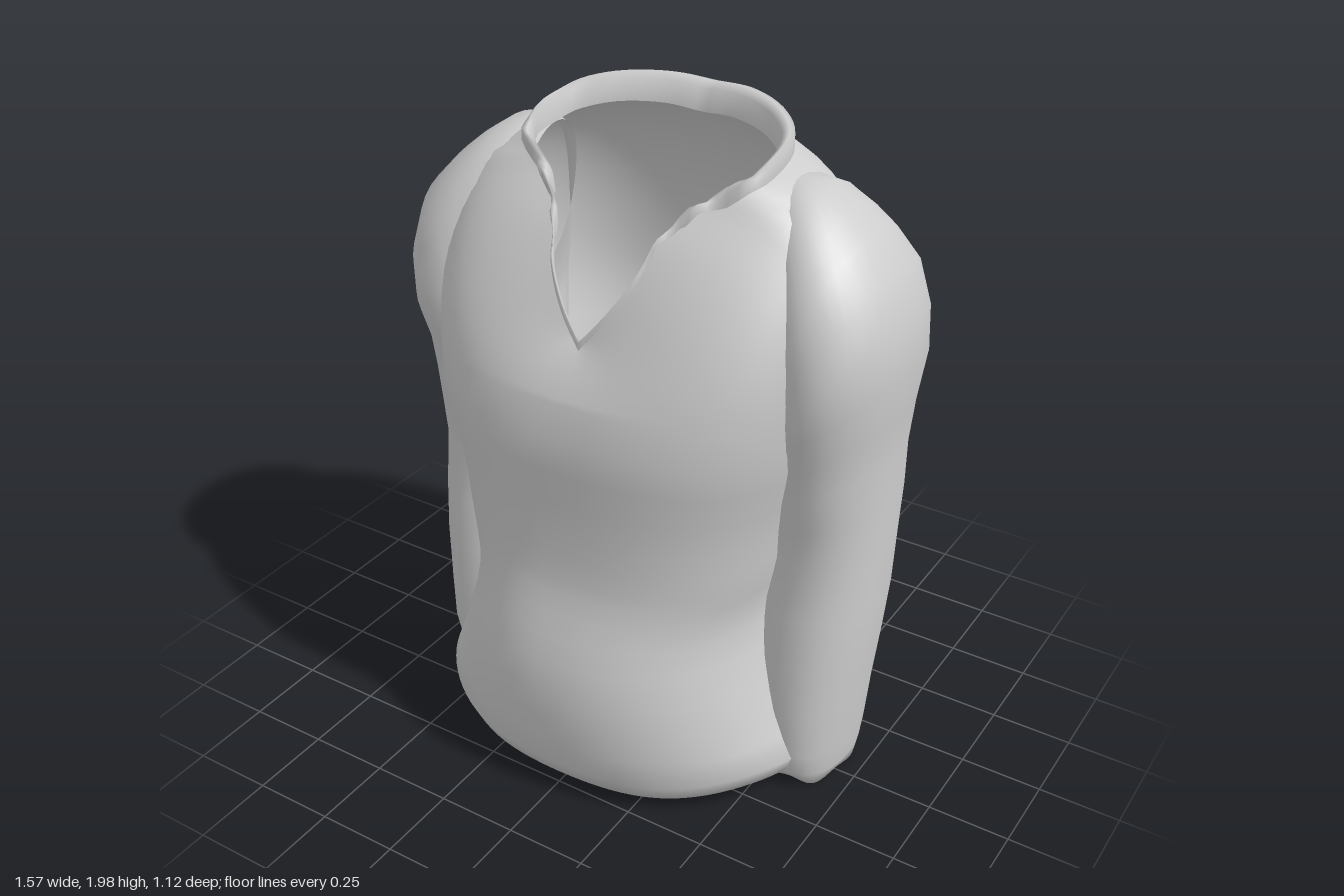
import * as THREE from 'three';

const COLS = 96;
const fabric = new THREE.MeshStandardMaterial({ color: 0xcccccc, side: THREE.DoubleSide });
fabric.name = 'grey fabric';

// Smooth surface through closed rings of points (rows of equal length)
function loft(name, rows) {
  const n = rows[0].length, pos = [], index = [];
  rows.forEach(r => r.forEach(p => pos.push(p.x, p.y, p.z)));
  for (let i = 0; i < rows.length - 1; i++) {
    for (let j = 0; j < n; j++) {
      const a = i * n + j, b = i * n + (j + 1) % n;
      index.push(a, b, b + n, a, b + n, a + n);
    }
  }
  const g = new THREE.BufferGeometry();
  g.setAttribute('position', new THREE.Float32BufferAttribute(pos, 3));
  g.setIndex(index);
  g.computeVertexNormals();
  const mesh = new THREE.Mesh(g, fabric);
  mesh.name = name;
  return mesh;
}

const V = (x, y, z) => new THREE.Vector3(x, y, z);
const { lerp, smoothstep } = THREE.MathUtils;
const bell = (x, w) => Math.exp(-((x / w) ** 2));
const power = (v, e) => Math.sign(v) * Math.abs(v) ** e;
// Column position: 0 at the front, 1 or -1 at the spine
const columns = Array.from({ length: COLS }, (_, j) => (j <= COLS / 2 ? j : j - COLS) / (COLS / 2));

// Half of the V neckline, from its tip round to the nape
const neckHalf = new THREE.CatmullRomCurve3([
  V(0, 1.44, 0.335), V(0.07, 1.53, 0.31), V(0.13, 1.63, 0.265), V(0.165, 1.73, 0.2), V(0.24, 1.81, 0.12),
  V(0.345, 1.87, 0.05), V(0.345, 1.91, -0.12), V(0.26, 1.935, -0.21), V(0.12, 1.94, -0.28), V(0, 1.93, -0.3),
]);
function neckPoint(s) {
  const p = neckHalf.getPoint(Math.abs(s));
  if (s < 0) p.x *= -1;
  return p;
}

// Body rings: height, half width, front z, back z, roundness exponent
const bodyRings = [
  [0.09, 0.595, 0.49, -0.45, 0.95], [0.058, 0.615, 0.51, -0.468, 0.95], [0.12, 0.64, 0.54, -0.485, 0.95],
  [0.22, 0.605, 0.557, -0.5, 0.95], [0.31, 0.565, 0.56, -0.485, 0.94], [0.4, 0.53, 0.56, -0.468, 0.92],
  [0.5, 0.495, 0.542, -0.452, 0.9], [0.58, 0.48, 0.515, -0.442, 0.87], [0.645, 0.48, 0.493, -0.445, 0.84],
  [0.7, 0.49, 0.476, -0.495, 0.81], [0.75, 0.5, 0.466, -0.527, 0.79], [0.82, 0.51, 0.46, -0.527, 0.77],
  [0.9, 0.52, 0.457, -0.525, 0.76], [1.0, 0.54, 0.457, -0.53, 0.75], [1.1, 0.565, 0.462, -0.55, 0.74],
  [1.2, 0.585, 0.462, -0.565, 0.72], [1.3, 0.595, 0.435, -0.56, 0.7],
];

function bodyPoint([y, w, zf, zb, e], s) {
  const a = s * Math.PI, c = Math.cos(a);
  const x = w * power(Math.sin(a), e);
  let z = (c > 0 ? zf : -zb) * power(c, e);
  if (c < 0) z += y < 0.66 ? 0.045 * bell(x, 0.02) : 0.025 * bell(x, 0.08); // back slit and spine hollow
  if (y < 0.15) y += 0.006 * Math.cos(a * 6) + 0.025 * Math.sin(a) ** 2;    // uneven hem
  else if (c < 0) y -= 0.055 * Math.sqrt(-c) * bell(y - 0.715, 0.04);       // waist fold hangs over at the back
  return V(x, y, z);
}

function makeBody() {
  const rows = bodyRings.map(r => columns.map(s => bodyPoint(r, s)));
  const chest = rows[rows.length - 1];
  // Yoke: each column curves from the chest over the shoulder to the neckline
  for (let i = 1; i <= 12; i++) {
    rows.push(columns.map((s, j) => {
      const from = chest[j], to = neckPoint(s), c = Math.cos(s * Math.PI);
      const side = 1 - Math.abs(c);
      const control = V(
        from.x * (1 + 0.22 * side * side),
        lerp((from.y + to.y) / 2, to.y - 0.015, 0.3 + 0.7 * Math.sqrt(side)),
        lerp(from.z, to.z, 0.24 + 0.18 * c),
      );
      return new THREE.QuadraticBezierCurve3(from, control, to).getPoint(i / 12);
    }));
  }
  return loft('body', rows);
}

// Rolled collar, narrow along the V and wider round the nape
function makeCollar() {
  const profile = [[1, -0.012, 0.3], [1, 0.012, 0.75], [0.55, 0.012, 1], [0, 0.006, 0.85], [-0.15, -0.015, -0.2]];
  return loft('collar', profile.map(([out, lift, rise], i) => columns.map(s => {
    const p = neckPoint(s), t = Math.abs(s);
    const k = smoothstep(t, 0.25, 0.75);
    const crumple = 0.014 * Math.sin(t * 60 + i) * bell(t - 0.45, 0.13);
    const d = V(p.x, 0, p.z + 0.05).normalize();
    const reach = out * (0.012 + 0.06 * k) + crumple;
    return V(p.x + d.x * reach * 0.45, p.y + lift + rise * 0.043 * k + crumple, p.z + d.z * reach);
  })));
}

// Sleeve rings: inner x, y, outer x, y, front z, back z; the first ones lie just under the yoke
const sleeveRings = [
  [0.45, 1.38, 0.37, 1.865, 0.04, -0.24], [0.46, 1.33, 0.44, 1.875, 0.1, -0.295], [0.465, 1.29, 0.51, 1.862, 0.15, -0.335],
  [0.465, 1.26, 0.58, 1.815, 0.185, -0.365], [0.465, 1.24, 0.645, 1.76, 0.21, -0.385],
  [0.46, 1.21, 0.725, 1.675, 0.225, -0.395], [0.45, 1.17, 0.772, 1.54, 0.225, -0.395],
  [0.44, 1.12, 0.785, 1.4, 0.21, -0.38], [0.43, 1.06, 0.767, 1.25, 0.175, -0.355], [0.42, 0.98, 0.757, 1.11, 0.16, -0.34],
  [0.41, 0.89, 0.76, 0.97, 0.14, -0.325], [0.41, 0.79, 0.757, 0.82, 0.122, -0.305], [0.41, 0.62, 0.756, 0.64, 0.145, -0.292],
  [0.415, 0.46, 0.747, 0.48, 0.163, -0.272], [0.43, 0.3, 0.733, 0.31, 0.17, -0.25], [0.455, 0.15, 0.722, 0.15, 0.168, -0.232],
  [0.475, 0.07, 0.712, 0.07, 0.15, -0.22], [0.485, 0.025, 0.705, 0.035, 0.13, -0.195], [0.52, 0.055, 0.68, 0.06, 0.1, -0.165],
];

function makeSleeve(side) {
  const n = 40;
  const rows = sleeveRings.map(([xi, yi, xo, yo, zf, zb], i) => Array.from({ length: n }, (_, j) => {
    const a = side * j / n * Math.PI * 2;
    const u = (1 + power(Math.cos(a), 0.92)) / 2, v = power(Math.sin(a), 0.92);
    const ruffle = i > 16 ? 0.012 * Math.sin(a * 5) : 0; // crumpled cuff
    return V(side * (xi + (xo - xi) * u), yi + (yo - yi) * u + ruffle, (zf + zb) / 2 + v * (zf - zb) / 2);
  }));
  return loft(side > 0 ? 'leftSleeve' : 'rightSleeve', rows);
}

export function createModel() {
  const shirt = new THREE.Group();
  shirt.name = 'shirt';
  shirt.add(makeBody(), makeCollar(), makeSleeve(1), makeSleeve(-1));
  return shirt;
}
